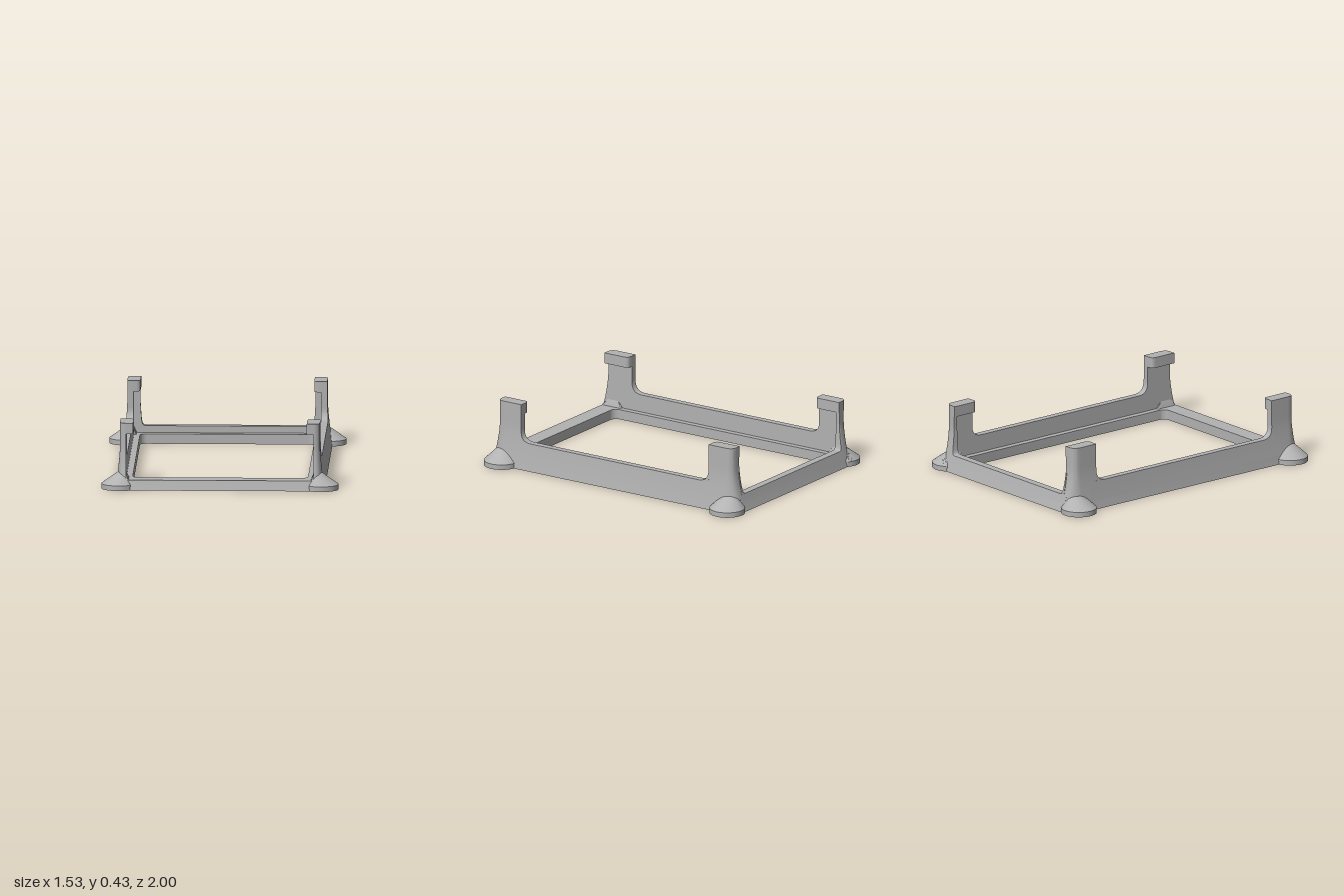
import * as THREE from 'three';
import { toCreasedNormals } from 'three/addons/utils/BufferGeometryUtils.js';

// Main plan dimensions (half sizes)
const OX = 0.645, OZ = 0.92;      // outer faces of the posts
const IX = 0.605, IZ = 0.895;     // inner faces of the walls
const HX = 0.565, HZ = 0.845;     // opening in the frame

// Flare the outer faces outward towards the ground
function flare(geo) {
  const p = geo.attributes.position;
  for (let i = 0; i < p.count; i++) {
    const x = p.getX(i), y = p.getY(i), z = p.getZ(i);
    const t = Math.pow(Math.max(0, (0.28 - y) / 0.28), 1.5);
    const kx = Math.max(0, (Math.abs(x) - IX) / (OX - IX));
    const kz = Math.max(0, (Math.abs(z) - IZ) / (OZ - IZ));
    p.setX(i, x + Math.sign(x) * 0.03 * t * kx);
    p.setZ(i, z + Math.sign(z) * 0.055 * t * kz);
  }
  return toCreasedNormals(geo, 0.5);
}

// Plan shape (x, z) raised from y0 to y1
function slab(shape, y0, y1, steps = 1) {
  const geo = new THREE.ExtrudeGeometry(shape, { depth: y1 - y0, steps, bevelEnabled: false, curveSegments: 8 });
  geo.rotateX(Math.PI / 2).translate(0, y1, 0);
  return flare(geo);
}

function roundRect(path, w, h, r) {
  path.moveTo(-w + r, -h);
  path.lineTo(w - r, -h).absarc(w - r, -h + r, r, -Math.PI / 2, 0);
  path.lineTo(w, h - r).absarc(w - r, h - r, r, 0, Math.PI / 2);
  path.lineTo(-w + r, h).absarc(-w + r, h - r, r, Math.PI / 2, Math.PI);
  path.lineTo(-w, -h + r).absarc(-w + r, -h + r, r, Math.PI, Math.PI * 1.5);
  return path;
}

function rect(x0, z0, x1, z1) {
  return new THREE.Shape([[x0, z0], [x1, z0], [x1, z1], [x0, z1]].map(a => new THREE.Vector2(...a)));
}

// Mirrored copy with the corner order put right
function mirrored(geo, sx, sz) {
  const g = geo.index ? geo.toNonIndexed() : geo.clone();
  g.scale(sx, 1, sz);
  if (sx * sz < 0) {
    for (const name of ['position', 'normal']) {
      const a = g.attributes[name];
      for (let i = 0; i < a.count; i += 3) {
        const b = [a.getX(i + 1), a.getY(i + 1), a.getZ(i + 1)];
        a.setXYZ(i + 1, a.getX(i + 2), a.getY(i + 2), a.getZ(i + 2));
        a.setXYZ(i + 2, ...b);
      }
    }
  }
  return toCreasedNormals(g, 0.5);
}

// Plan of a post; the rear ones are L-shaped
function postPlan(rear) {
  const s = new THREE.Shape(), r = 0.05;
  s.moveTo(IX, 0.735);
  s.lineTo(OX, 0.735);
  s.lineTo(OX, OZ - r);
  s.quadraticCurveTo(OX, OZ, rear ? OX - r : IX, OZ);
  if (rear) {
    s.lineTo(HX, OZ);
    s.lineTo(HX, IZ);
    s.lineTo(IX, IZ);
  }
  s.closePath();
  return s;
}

// Inward hook on top of a post
function hookPlan() {
  const s = new THREE.Shape(), r = 0.03;
  s.moveTo(0.56 + r, 0.735);
  s.lineTo(OX, 0.735);
  s.lineTo(OX, OZ - 0.05);
  s.quadraticCurveTo(OX, OZ, OX - 0.045, OZ);
  s.lineTo(0.56, OZ);
  s.lineTo(0.56, 0.735 + r);
  s.quadraticCurveTo(0.56, 0.735, 0.56 + r, 0.735);
  return s;
}

// Fillet between side wall and post
function sideFillet() {
  const s = new THREE.Shape();
  s.moveTo(0.66, 0.17);
  s.lineTo(0.74, 0.17);
  s.lineTo(0.74, 0.255);
  s.lineTo(0.735, 0.255);
  s.quadraticCurveTo(0.735, 0.18, 0.66, 0.18);
  const g = new THREE.ExtrudeGeometry(s, { depth: OX - IX, bevelEnabled: false, curveSegments: 8 });
  g.rotateY(-Math.PI / 2).translate(OX, 0, 0);
  return flare(g);
}

// Fillet between rear wall and post
function rearFillet() {
  const s = new THREE.Shape();
  s.moveTo(0.52, 0.1);
  s.lineTo(0.575, 0.1);
  s.lineTo(0.575, 0.28);
  s.lineTo(HX, 0.28);
  s.bezierCurveTo(0.555, 0.11, 0.56, 0.11, 0.52, 0.11);
  const g = new THREE.ExtrudeGeometry(s, { depth: OZ - IZ, bevelEnabled: false, curveSegments: 10 });
  g.translate(0, 0, IZ);
  return flare(g);
}

// Round foot leaning in towards the post, cut flush with the frame inside
function footGeometry() {
  const profile = [[0, 0], [0.115, 0], [0.115, 0.033], [0.045, 0.11], [0, 0.11]];
  const g = new THREE.LatheGeometry(profile.map(a => new THREE.Vector2(...a)), 48);
  const p = g.attributes.position;
  for (let i = 0; i < p.count; i++) {
    const high = p.getY(i) > 0.05;
    const x = p.getX(i) + (high ? 0.612 : 0.65);
    p.setX(i, Math.max(x, high ? 0.607 : 0.575));
    p.setZ(i, p.getZ(i) + 0.885);
  }
  return toCreasedNormals(g, 0.5);
}

export function createModel() {
  const model = new THREE.Group();
  model.name = 'cornerPostTray';
  const grey = new THREE.MeshStandardMaterial({ color: 0xb2b2b2 });
  grey.name = 'light grey';
  const add = (geo, name) => {
    const mesh = new THREE.Mesh(geo, grey);
    mesh.name = name;
    model.add(mesh);
  };

  // Base frame with its ledge
  const frame = roundRect(new THREE.Shape(), OX, OZ, 0.04);
  frame.holes.push(roundRect(new THREE.Path(), HX, HZ, 0.045));
  add(slab(frame, 0, 0.065, 2), 'baseFrame');

  // Walls
  const wall = slab(rect(IX, -0.8, OX, 0.8), 0.05, 0.18, 4);
  add(wall, 'leftWall');
  add(mirrored(wall, -1, 1), 'rightWall');
  add(slab(rect(-0.6, -OZ, 0.6, -IZ), 0.05, 0.11, 2), 'rearWall');

  // Corners
  const foot = footGeometry(), hook = slab(hookPlan(), 0.36, 0.43);
  const fillet = sideFillet(), backFillet = rearFillet();
  for (const sz of [1, -1]) {
    const post = slab(postPlan(sz < 0), 0.05, 0.43, 12);
    for (const sx of [1, -1]) {
      const label = (sz > 0 ? 'front' : 'rear') + (sx > 0 ? 'Left' : 'Right');
      add(mirrored(post, sx, sz), label + 'Post');
      add(mirrored(hook, sx, sz), label + 'Hook');
      add(mirrored(foot, sx, sz), label + 'Foot');
      add(mirrored(fillet, sx, sz), label + 'SideFillet');
      if (sz < 0) add(mirrored(backFillet, sx, sz), label + 'RearFillet');
    }
  }
  return model;
}
